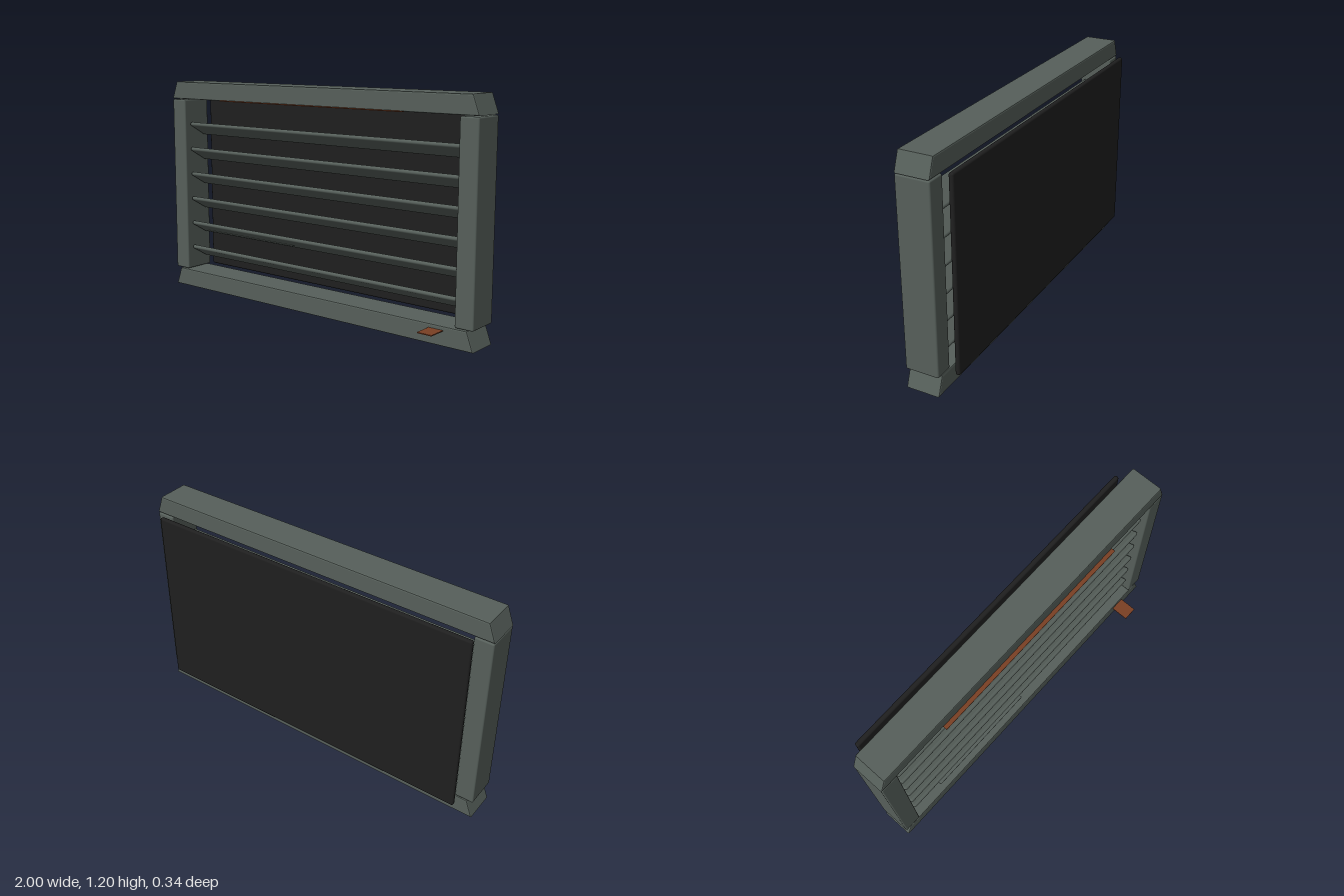
import * as THREE from 'three';
import { RoundedBoxGeometry } from 'three/addons/geometries/RoundedBoxGeometry.js';

const material = (name, color) => {
  const m = new THREE.MeshStandardMaterial({ color });
  m.name = name;
  return m;
};

export function createModel() {
  const group = new THREE.Group();
  const frameGrey = material('frame grey', 0x565f5a);
  const panelBlack = material('panel black', 0x1f1f1f);
  const rust = material('rust brown', 0x7a3f24);

  const add = (name, geometry, mat, x, y, z) => {
    const mesh = new THREE.Mesh(geometry, mat);
    mesh.name = name;
    mesh.position.set(x, y, z);
    group.add(mesh);
    return mesh;
  };
  const rounded = (w, h, d, r) => new RoundedBoxGeometry(w, h, d, 2, r);

  const depth = 0.178, midZ = -0.016;

  // Trapezoid beam with chamfered edges, running along x
  const beam = (y0, y1) => {
    const b = 0.007, wide = 1 - b, narrow = 0.968 - b;
    const s = new THREE.Shape();
    s.moveTo(-wide, y0 + b);
    s.lineTo(wide, y0 + b);
    s.lineTo(narrow, y1 - b);
    s.lineTo(-narrow, y1 - b);
    s.closePath();
    const g = new THREE.ExtrudeGeometry(s, {
      depth: depth - 2 * b, bevelEnabled: true,
      bevelSize: b, bevelThickness: b, bevelSegments: 2,
    });
    return g.translate(0, 0, -depth / 2 + b);
  };
  add('topBeam', beam(1.102, 1.2), frameGrey, 0, 0, midZ);
  add('bottomBeam', beam(0.01, 0.11), frameGrey, 0, 0, midZ);

  // Side posts and little feet
  for (const side of [-1, 1]) {
    const label = side > 0 ? 'left' : 'right';
    add(label + 'Post', rounded(0.1, 0.985, depth, 0.008), frameGrey, side * 0.95, 0.6065, midZ);
    add(label + 'Foot', new THREE.CylinderGeometry(0.014, 0.014, 0.012, 16), panelBlack, side * 0.945, 0.006, 0);
  }

  // Tilted louvre slats, front edge high
  for (let i = 0; i < 6; i++) {
    const slat = add('slat' + (i + 1), rounded(1.78, 0.022, 0.13, 0.0105), frameGrey, 0, 0.215 + i * 0.1435, -0.01);
    slat.rotation.x = -Math.PI / 6;
  }

  // Back panel standing clear of the frame
  add('backPanel', rounded(1.85, 1.015, 0.025, 0.01), panelBlack, 0, 0.612, -0.1595);

  // Thin trim plates at the front
  add('topTrim', new THREE.BoxGeometry(1.2, 0.004, 0.022), rust, 0, 1.105, 0.083);
  add('greyTrim', new THREE.BoxGeometry(0.64, 0.004, 0.018), frameGrey, -0.4, 0.368, 0.082);
  add('frontTab', new THREE.BoxGeometry(0.08, 0.005, 0.1), rust, 0.8, 0.088, 0.122);

  return group;
}
